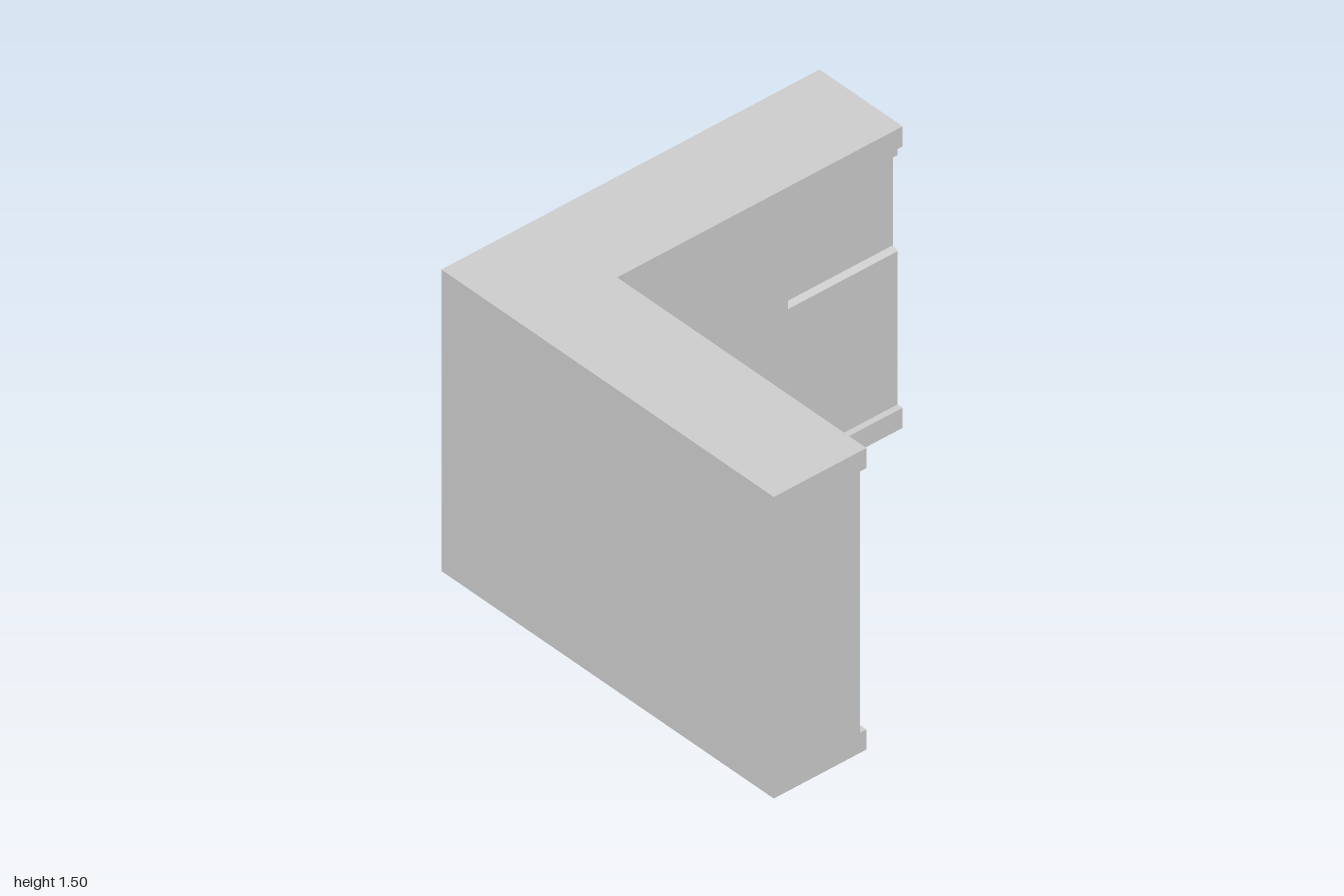
import * as THREE from 'three';

const wallGrey = new THREE.MeshStandardMaterial({ color: 0xcccccc });
wallGrey.name = 'wallGrey';

const shapeFrom = (points) => new THREE.Shape(points.map(([x, y]) => new THREE.Vector2(x, y)));

function extrude(points, depth) {
  return new THREE.ExtrudeGeometry(shapeFrom(points), { depth, bevelEnabled: false });
}

// L-shaped plan band: inner corner at (innerX, innerZ), back wing ending at endX
function cornerBand(name, innerX, innerZ, endX, y0, y1) {
  const geometry = extrude([
    [-1, -1], [innerX, -1], [innerX, -innerZ], [endX, -innerZ], [endX, 1], [-1, 1],
  ], y1 - y0);
  geometry.rotateX(-Math.PI / 2);
  geometry.translate(0, y0, 0);
  const mesh = new THREE.Mesh(geometry, wallGrey);
  mesh.name = name;
  return mesh;
}

// End of the back wing: side profile (depth, height) with the sloped-edge recess
function recessedWall(x0, x1) {
  const geometry = extrude([
    [0.53, 0.1], [1, 0.1], [1, 1.4], [0.53, 1.4],
    [0.53, 1.34], [0.557, 1.325], [0.557, 0.877], [0.53, 0.862],
  ], x1 - x0);
  geometry.rotateY(Math.PI / 2);
  geometry.translate(x0, 0, 0);
  const mesh = new THREE.Mesh(geometry, wallGrey);
  mesh.name = 'recessedWallEnd';
  return mesh;
}

export function createModel() {
  const group = new THREE.Group();
  group.name = 'cornerWall';
  group.add(
    cornerBand('baseTrim', -0.51, -0.5, 1, 0, 0.1),
    cornerBand('wallPanel', -0.543, -0.53, 0.42, 0.1, 1.4),
    recessedWall(0.42, 1),
    cornerBand('topTrim', -0.51, -0.5, 1, 1.4, 1.5),
  );
  return group;
}
